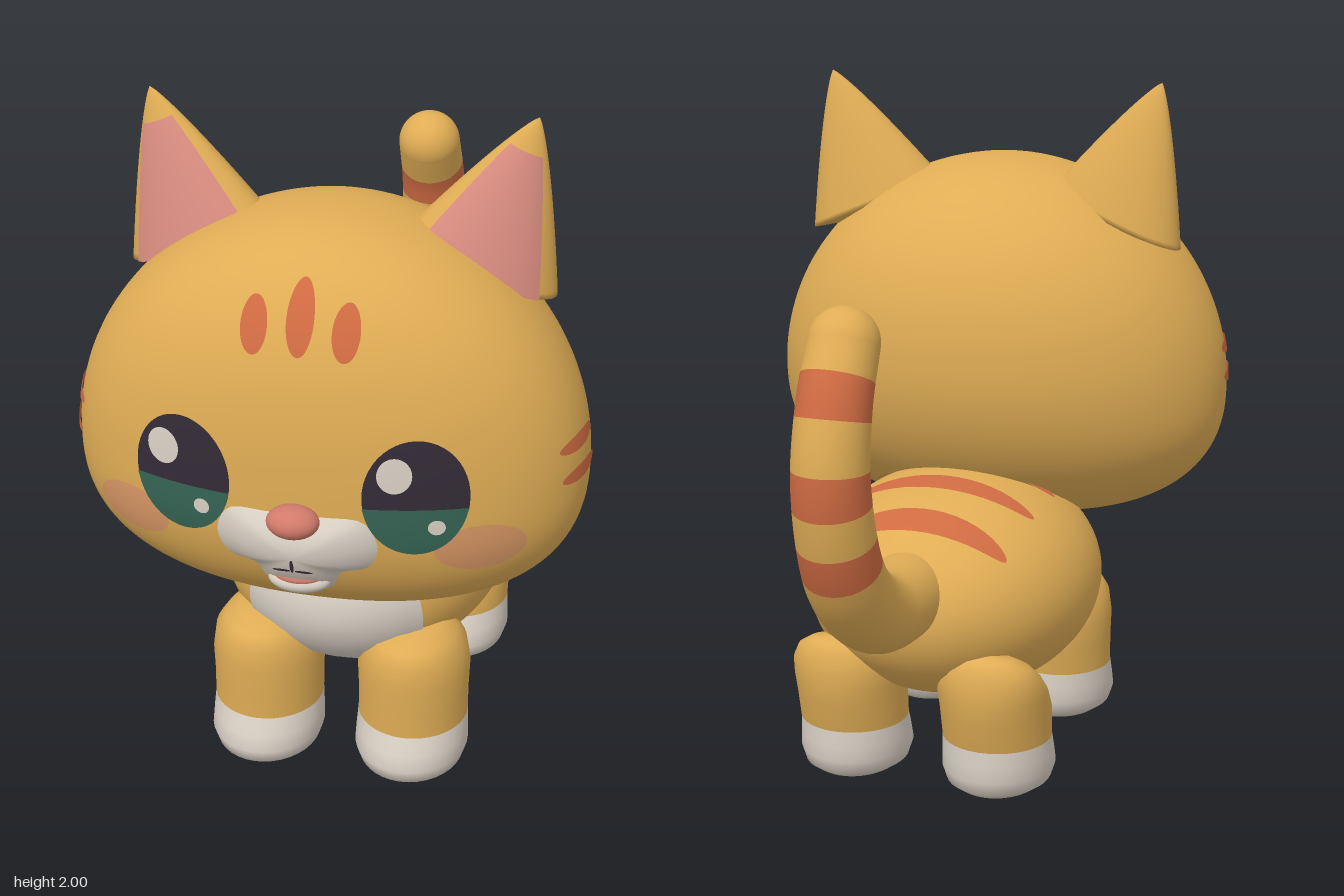
import * as THREE from 'three';
import { mergeVertices } from 'three/addons/utils/BufferGeometryUtils.js';

const mat = (name, color) => {
  const m = new THREE.MeshStandardMaterial({ color, side: THREE.DoubleSide });
  m.name = name;
  return m;
};

// Smooth surface from fn(u, v) -> [x, y, z]; u runs around, v runs along
function grid(nu, nv, fn) {
  const pos = [], idx = [];
  for (let j = 0; j <= nv; j++)
    for (let i = 0; i <= nu; i++) pos.push(...fn(i / nu, j / nv));
  for (let j = 0; j < nv; j++)
    for (let i = 0; i < nu; i++) {
      const a = j * (nu + 1) + i, b = a + 1, c = a + nu + 1, d = c + 1;
      idx.push(a, c, b, b, c, d);
    }
  let g = new THREE.BufferGeometry();
  g.setAttribute('position', new THREE.Float32BufferAttribute(pos, 3));
  g.setIndex(idx);
  g = mergeVertices(g, 1e-5);
  g.computeVertexNormals();
  return g;
}

// Superellipse falloff, and one with different upper and lower halves
const fall = (s, n) => Math.pow(Math.max(0, 1 - Math.pow(Math.min(1, Math.abs(s)), n)), 1 / n);
const TOP = 1.755, LOW = 0.64;
const profile = (y, mid, nUp, nDown) =>
  y > mid ? fall((y - mid) / (TOP - mid), nUp) : fall((mid - y) / (mid - LOW), nDown);

// Head measurements by height
const headW = y => 0.705 * profile(y, 1.07, 2, 2.5);
const headF = y => 0.42 * profile(y, 1.07, 2.6, 2.2);
const headB = y => 0.54 * profile(y, 1.19, 2.2, 2);
const headFront = (x, y) => 0.5 + headF(y) * fall(x / headW(y), 2.2);
const headSide = (z, y) => headW(y) * (z > 0.5 ? fall((z - 0.5) / headF(y), 2.2) : fall((0.5 - z) / headB(y), 2));

// Body ellipsoid measurements
const BODY = { y: 0.535, z: 0.07, rx: 0.43, ry: 0.33, rz: 0.52 };
const bodyFront = (x, y) =>
  BODY.z + BODY.rz * Math.sqrt(Math.max(0, 1 - (x / BODY.rx) ** 2 - ((y - BODY.y) / BODY.ry) ** 2));
const bodyTop = (x, z) =>
  BODY.y + BODY.ry * Math.sqrt(Math.max(0, 1 - (x / BODY.rx) ** 2 - ((z - BODY.z) / BODY.rz) ** 2));

// Painted patch: outline(t) -> [a, b] around centre (ca, cb), laid on a surface by place(a, b, r)
const patch = (ca, cb, outline, place) => grid(48, 8, (u, v) => {
  const [a, b] = outline(u);
  return place(ca + (a - ca) * v, cb + (b - cb) * v, v);
});
const oval = (ca, cb, ra, rb) => u =>
  [ca + ra * Math.cos(u * 2 * Math.PI), cb + rb * Math.sin(u * 2 * Math.PI)];
const onFace = lift => (x, y) => [x, y, headFront(x, y) + lift];

export function createModel() {
  const orange = mat('orange fur', 0xe0ad55), white = mat('cream white', 0xd8cfc3);
  const stripe = mat('rust stripe', 0xcf6b42), earPink = mat('ear pink', 0xd98c80);
  const nosePink = mat('nose pink', 0xd17a6a), dark = mat('eye dark', 0x332b36);
  const teal = mat('iris teal', 0x356354), blush = mat('blush', 0xdb9966);

  const model = new THREE.Group();
  model.name = 'kitten';
  const add = (name, geo, material, parent = model) => {
    const m = new THREE.Mesh(geo, material);
    m.name = name;
    parent.add(m);
    return m;
  };
  const ball = (name, material, p, r) => {
    const m = add(name, new THREE.SphereGeometry(1, 64, 40), material);
    m.position.set(...p);
    m.scale.set(...r);
    return m;
  };
  const faceOval = (name, material, x, y, rx, ry, lift) =>
    add(name, patch(x, y, oval(x, y, rx, ry), onFace(lift)), material);

  // Head
  add('head', grid(96, 72, (u, v) => {
    const y = (TOP + LOW) / 2 + (TOP - LOW) / 2 * Math.sin((v - 0.5) * Math.PI);
    const t = u * 2 * Math.PI, c = Math.cos(t);
    const z = t <= Math.PI ? headF(y) * fall(c, 2.2) : -headB(y) * fall(c, 2);
    return [headW(y) * c, y, 0.5 + z];
  }), orange);

  // Forehead stripes
  for (const x of [-0.12, 0, 0.12])
    faceOval('foreheadStripe', stripe, x, x ? 1.56 : 1.585, 0.036, x ? 0.068 : 0.088, 0.008);

  for (const s of [-1, 1]) {
    // Eye: dark oval, teal lower part, two highlights
    const ex = 0.31 * s, ey = 1.135;
    faceOval('eye', dark, ex, ey, 0.135, 0.165, 0.007);
    const lower = u => {
      const [x, y] = oval(ex, ey, 0.135, 0.165)(u);
      return [x, Math.min(y, 1.106)];
    };
    add('iris', patch(ex, 1.06, lower, onFace(0.01)), teal);
    faceOval('eyeHighlight', white, ex - 0.052, 1.205, 0.045, 0.05, 0.013);
    faceOval('eyeGlint', white, ex + 0.056, 1.055, 0.022, 0.022, 0.014);
    faceOval('blushPatch', blush, 0.47 * s, 0.975, 0.112, 0.073, 0.008);

    // Cheek stripes
    for (const y of [1.195, 1.108])
      add('cheekStripe', patch(0.585, y, oval(0.585, y, 0.095, 0.022),
        (z, yy) => [s * (headSide(z, yy) + 0.006), yy, z]), stripe);

    // Ear: leaning cone of oval section with a closed base
    const ear = new THREE.Group();
    ear.name = s > 0 ? 'leftEar' : 'rightEar';
    ear.scale.x = s;
    model.add(ear);
    const earPoint = (phi, t, lift) => {
      const k = t < 0 ? 1 + t * 10 : Math.pow(1 - t, 0.85);
      const c = Math.cos(phi) * k, d = Math.sin(phi) * k;
      const h = Math.max(t, -0.1);
      return [0.385 + 0.135 * h + 0.2 * c, 1.595 + 0.405 * h - 0.085 * c, 0.41 - 0.025 * h - 0.02 * c + 0.12 * d + lift];
    };
    add('earShell', grid(40, 33, (u, v) => earPoint(u * 2 * Math.PI, -0.1 + 1.1 * v, 0)), orange, ear);
    add('innerEar', grid(20, 16, (u, v) => earPoint(0.62 + 1.9 * u, 0.8 * v, 0.006)), earPink, ear);
  }

  // Muzzle: domed patch
  const half = [[0.07, 1.07], [0.18, 1.062], [0.215, 0.985], [0.185, 0.915], [0.115, 0.89], [0.085, 0.825]];
  const ring = [...half, [0, 0.785], ...half.map(([x, y]) => [-x, y]).reverse()];
  const rim = new THREE.CatmullRomCurve3(ring.map(([x, y]) => new THREE.Vector3(x, y, 0)), true);
  add('muzzle', patch(0, 0.96, u => { const p = rim.getPoint(u); return [p.x, p.y]; },
    (x, y, r) => [x, y, headFront(x, y) + 0.006 + 0.052 * (1 - r * r)]), white);

  // Nose and mouth
  ball('nose', nosePink, [0, 1.06, 0.945], [0.07, 0.044, 0.055]);
  ball('tongue', nosePink, [0, 0.87, 0.885], [0.072, 0.026, 0.05]);
  ball('lowerLip', white, [0, 0.852, 0.883], [0.085, 0.034, 0.054]);
  faceOval('mouthLine', dark, 0, 0.935, 0.005, 0.022, 0.06);
  for (const s of [-1, 1]) faceOval('mouthCorner', dark, 0.03 * s, 0.916, 0.024, 0.004, 0.056);

  // Body, bib and back stripes
  ball('body', orange, [0, BODY.y, BODY.z], [BODY.rx, BODY.ry, BODY.rz]);
  add('bib', patch(0, 0.5, oval(0, 0.5, 0.255, 0.27), (x, y) => [x, y, bodyFront(x, y) + 0.008]), white);
  for (const [z, rx] of [[-0.25, 0.265], [-0.06, 0.285], [0.14, 0.285]])
    add('backStripe', patch(0, z, oval(0, z, rx, 0.042), (x, zz) => [x, bodyTop(x, zz) + 0.007, zz]), stripe);

  // Legs from rings [y, centre z, radius x, radius z]
  const paw = [[0, 0.015, 0.001, 0.001], [0.003, 0.015, 0.12, 0.14], [0.025, 0.018, 0.152, 0.175],
    [0.065, 0.018, 0.165, 0.187], [0.11, 0.01, 0.163, 0.178], [0.16, 0, 0.16, 0.165]];
  const frontLeg = [[0.16, 0, 0.16, 0.165], [0.24, -0.005, 0.16, 0.172], [0.32, -0.008, 0.163, 0.18],
    [0.39, -0.005, 0.152, 0.175], [0.435, 0, 0.122, 0.15], [0.458, 0, 0.08, 0.1], [0.466, 0, 0.001, 0.001]];
  const backLeg = [[0.16, 0, 0.16, 0.165], [0.25, -0.015, 0.162, 0.175], [0.31, -0.045, 0.162, 0.153],
    [0.36, -0.075, 0.155, 0.122], [0.405, -0.1, 0.13, 0.088], [0.435, -0.118, 0.085, 0.052], [0.447, -0.125, 0.001, 0.001]];
  const loft = (rings, x, z) => grid(36, rings.length - 1, (u, v) => {
    const [y, zc, rx, rz] = rings[Math.round(v * (rings.length - 1))];
    const t = u * 2 * Math.PI;
    return [x + rx * Math.cos(t), y, z + zc + rz * Math.sin(t)];
  });
  for (const s of [-1, 1])
    for (const [name, rings, x, z] of [['front', frontLeg, 0.217, 0.438], ['back', backLeg, 0.225, -0.205]]) {
      add(name + 'Leg', loft(rings, s * x, z), orange);
      add(name + 'Paw', loft(paw, s * x, z), white);
    }

  // Tail: tapered sweep cut into coloured bands, with a rounded tip
  const path = new THREE.CatmullRomCurve3([[0.61, -0.35], [0.64, -0.6], [0.8, -0.8], [1.08, -0.89], [1.29, -0.86], [1.44, -0.79]]
    .map(([y, z]) => new THREE.Vector3(0, y, z)));
  const X = new THREE.Vector3(1, 0, 0);
  const cuts = [0, 0.47, 0.55, 0.635, 0.72, 0.83, 0.92, 1];
  for (let k = 0; k < cuts.length - 1; k++)
    add(k % 2 ? 'tailStripe' : 'tail', grid(32, k ? 6 : 20, (u, v) => {
      const t = cuts[k] + (cuts[k + 1] - cuts[k]) * v, a = u * 2 * Math.PI;
      const r = 0.122 - 0.026 * t;
      const n = X.clone().cross(path.getTangentAt(t));
      return path.getPointAt(t).addScaledVector(X, r * Math.cos(a)).addScaledVector(n, r * Math.sin(a)).toArray();
    }), k % 2 ? stripe : orange);
  ball('tailTip', orange, [0, 1.44, -0.79], [0.096, 0.096, 0.096]);

  return model;
}
